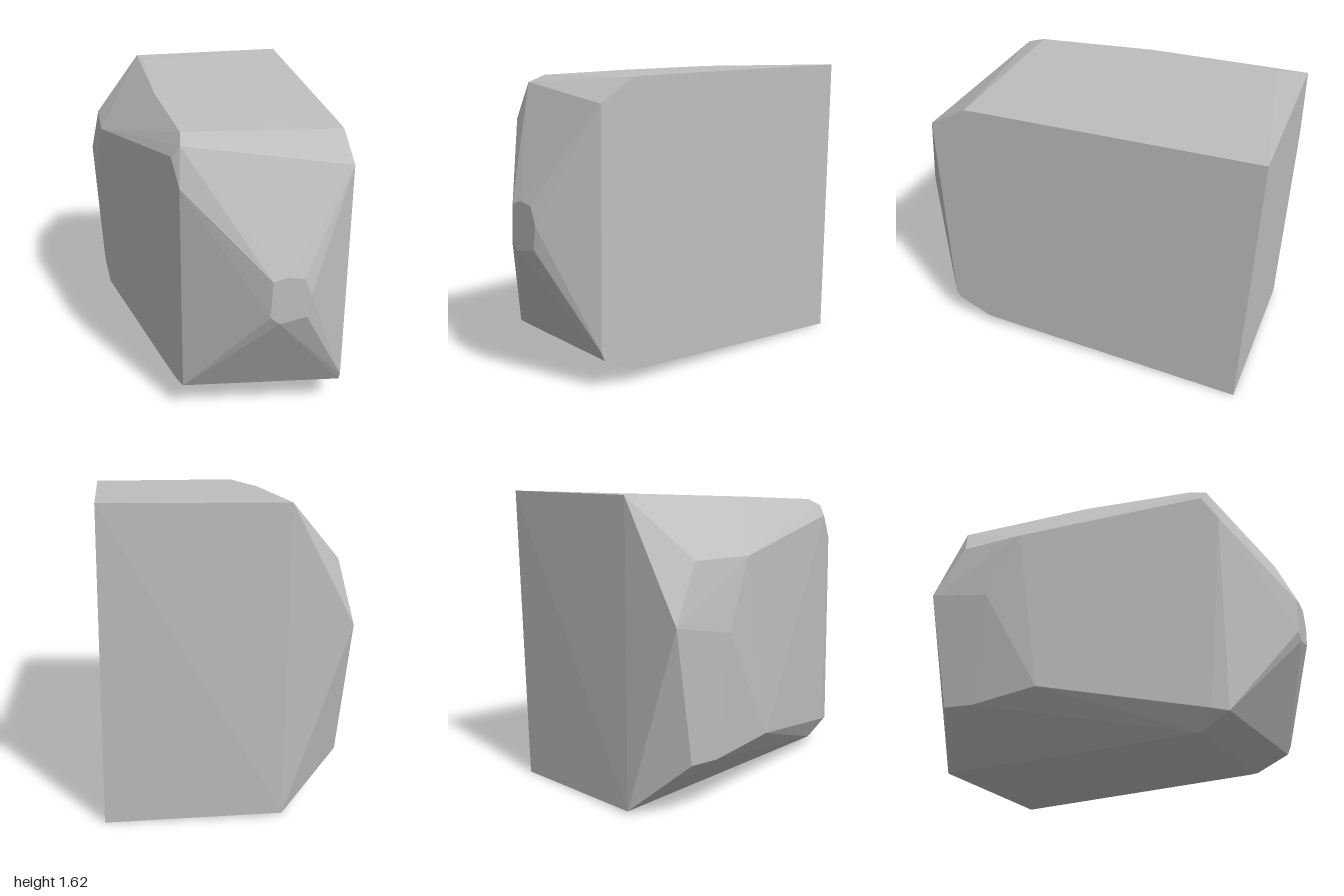
import * as THREE from 'three';
import { ConvexGeometry } from 'three/addons/geometries/ConvexGeometry.js';

export function createModel() {
  const group = new THREE.Group();
  group.name = 'facetedBlock';
  const grey = new THREE.MeshStandardMaterial({ color: 0xbfbfbf });
  grey.name = 'stone grey';

  // Flat cut side at +x, as [y, z]
  const cutSide = [
    [1.62, -1], [1.56, 0.52], [1.555, 0.58], [1.43, 0.785],
    [0.2, 0.79], [0.155, 0.77], [0.065, 0.58], [0.06, 0.53], [0, -0.975],
  ].map(([y, z]) => [0.622, y, z]);

  // Small blunt tip at the front, as [x, y]
  const frontTip = [
    [0.17, 0.92], [0.24, 0.94], [0.33, 0.925], [0.37, 0.83],
    [0.35, 0.71], [0.21, 0.68], [0.16, 0.72],
  ].map(([x, y]) => [x, y, 1]);

  // Long upper and lower shoulder edges, rear to front
  const shoulders = [
    [-0.3, 1.61, -1], [-0.27, 1.612, -0.84], [-0.28, 1.587, -0.13], [-0.22, 1.56, 0.52],
    [-0.28, 0.015, -1], [-0.24, 0.06, 0.53],
  ];

  // Rounded front corner
  const frontCorner = [
    [-0.235, 1.52, 0.62], [-0.28, 1.46, 0.6], [-0.25, 1.32, 0.69],
    [-0.245, 0.155, 0.695], [-0.285, 0.17, 0.61],
  ];

  // Bulging side at -x
  const bulge = [
    [-0.625, 1.0, -0.97], [-0.58, 1.3, -0.8], [-0.58, 1.3, -0.42], [-0.62, 0.93, -0.6],
    [-0.575, 0.33, -0.27], [-0.585, 0.28, -0.66], [-0.587, 0.29, -0.84],
  ];

  const points = [...cutSide, ...frontTip, ...shoulders, ...frontCorner, ...bulge]
    .map((p) => new THREE.Vector3(...p));
  const block = new THREE.Mesh(new ConvexGeometry(points), grey);
  block.name = 'block';
  group.add(block);
  return group;
}
